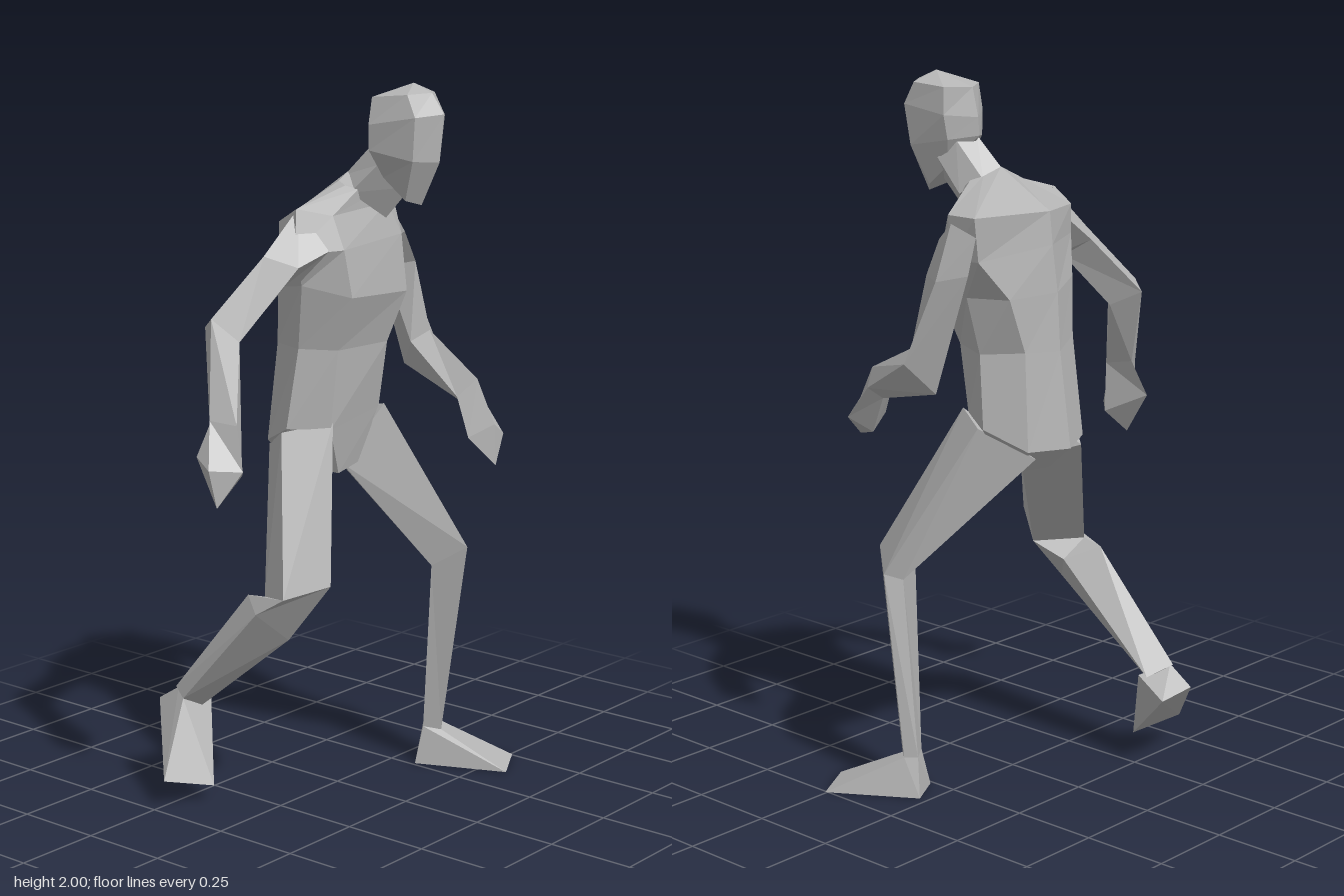
import * as THREE from 'three';
import { ConvexGeometry } from 'three/addons/geometries/ConvexGeometry.js';

const grey = new THREE.MeshStandardMaterial({ color: 0xb4b4b4 });
grey.name = 'clayGrey';

// Skins a stack of cross-sections (a one-point section makes a tip) with flat faces.
function loft(rings) {
  const n = Math.max(...rings.map((r) => r.length));
  const loops = rings.map((r) =>
    Array.from({ length: n }, (_, i) => new THREE.Vector3(...r[i % r.length])));
  const tris = [];
  for (let k = 0; k + 1 < loops.length; k++) {
    const a = loops[k], b = loops[k + 1];
    for (let i = 0; i < n; i++) {
      const j = (i + 1) % n;
      tris.push([a[i], a[j], b[j]], [a[i], b[j], b[i]]);
    }
  }
  const first = loops[0], last = loops[loops.length - 1];
  for (let i = 1; i + 1 < n; i++) {
    tris.push([first[0], first[i + 1], first[i]], [last[0], last[i], last[i + 1]]);
  }
  // Turn the faces outward whichever way the sections run.
  let volume = 0;
  for (const [a, b, c] of tris) volume += a.dot(b.clone().cross(c));
  const points = [];
  for (const [a, b, c] of tris) {
    if (a.equals(b) || b.equals(c) || a.equals(c)) continue;
    points.push(...(volume < 0 ? [a, c, b] : [a, b, c]));
  }
  const geometry = new THREE.BufferGeometry().setFromPoints(points);
  geometry.computeVertexNormals();
  return geometry;
}

// Six-sided head section: centre x, half width, then front and back heights and depths.
function headRing(cx, w, yF, yB, zF, zB) {
  const at = (dx, t) => [cx + dx, yF + (yB - yF) * t, zF + (zB - zF) * t];
  return [at(0.02, 0), at(w, 0.22), at(w * 0.8, 0.78), at(-0.01, 1), at(-w, 0.75), at(-w * 0.7, 0.15)];
}

export function createModel() {
  const model = new THREE.Group();
  model.name = 'stridingFigure';
  const add = (name, geometry) => {
    const mesh = new THREE.Mesh(geometry, grey);
    mesh.name = name;
    model.add(mesh);
  };

  // Torso from crotch to neck; each section runs front, left side, back, right side.
  const crotch = [[-0.02, 0.92, 0.02], [0.09, 0.93, 0], [0.13, 0.93, -0.06], [0.11, 0.93, -0.15],
    [0.04, 0.93, -0.17], [-0.04, 0.93, -0.14], [-0.08, 0.94, -0.05]];
  const hips = [[-0.09, 1.06, 0.05], [0.17, 1.08, 0.01], [0.23, 1.06, -0.1], [0.16, 1.0, -0.2],
    [0.02, 0.99, -0.23], [-0.09, 1.0, -0.18], [-0.16, 1.06, -0.05]];
  const waist = [[-0.07, 1.28, 0.06], [0.17, 1.27, 0.04], [0.21, 1.26, -0.07], [0.15, 1.27, -0.18],
    [0.03, 1.26, -0.2], [-0.08, 1.28, -0.15], [-0.12, 1.28, -0.04]];
  const ribs = [[-0.07, 1.43, 0.11], [0.22, 1.41, 0.07], [0.25, 1.42, -0.06], [0.2, 1.42, -0.17],
    [0.03, 1.42, -0.19], [-0.1, 1.44, -0.13], [-0.14, 1.46, -0.01]];
  const chest = [[-0.08, 1.56, 0.09], [0.22, 1.57, 0.05], [0.3, 1.53, -0.05], [0.29, 1.53, -0.14],
    [0.04, 1.55, -0.18], [-0.14, 1.55, -0.09], [-0.18, 1.55, 0]];
  const shoulders = [[-0.08, 1.65, 0.05], [0.18, 1.66, 0.03], [0.31, 1.65, -0.05], [0.31, 1.65, -0.145],
    [0.04, 1.64, -0.17], [-0.14, 1.63, -0.09], [-0.15, 1.67, -0.02]];
  const collar = [[0.04, 1.71, 0.04], [0.16, 1.7, 0.03], [0.17, 1.72, 0], [0.14, 1.73, -0.02],
    [0.08, 1.75, -0.03], [0.03, 1.73, -0.02], [0.02, 1.72, 0.01]];
  add('torso', loft([crotch, hips, waist, ribs, chest, shoulders, collar]));

  // Neck leaning forward into the head.
  add('neck', loft([
    [[0.1, 1.63, 0.09], [0.17, 1.68, 0.04], [0.14, 1.72, -0.02], [0.08, 1.74, -0.04], [0.03, 1.7, 0.02]],
    [[0.11, 1.72, 0.17], [0.17, 1.77, 0.12], [0.15, 1.82, 0.07], [0.09, 1.83, 0.05], [0.05, 1.78, 0.1]],
  ]));

  // Head from jaw to crown, nodding slightly.
  add('head', loft([
    headRing(0.11, 0.045, 1.67, 1.77, 0.19, 0.08),
    headRing(0.11, 0.08, 1.79, 1.83, 0.25, 0.03),
    headRing(0.115, 0.09, 1.92, 1.88, 0.26, 0.03),
    headRing(0.12, 0.08, 1.975, 1.96, 0.215, 0.045),
    [[0.13, 2.0, 0.16]],
  ]));

  // Arms: shoulder, upper arm, elbow, wrist, palm, fingertip.
  add('rightArm', loft([
    [[-0.13, 1.67, -0.03], [-0.12, 1.56, 0.07], [-0.15, 1.47, -0.01], [-0.14, 1.58, -0.09]],
    [[-0.25, 1.55, -0.05], [-0.2, 1.52, 0.03], [-0.19, 1.47, -0.02], [-0.22, 1.52, -0.095]],
    [[-0.385, 1.39, -0.12], [-0.35, 1.33, -0.05], [-0.31, 1.32, -0.09], [-0.36, 1.36, -0.165]],
    [[-0.45, 1.13, -0.07], [-0.42, 1.12, 0], [-0.38, 1.13, -0.02], [-0.41, 1.14, -0.09]],
    [[-0.51, 1.01, -0.02], [-0.43, 1.0, 0.03], [-0.4, 0.98, 0], [-0.47, 1.03, -0.1]],
    [[-0.49, 0.905, -0.01]],
  ]));
  add('leftArm', loft([
    [[0.32, 1.63, -0.07], [0.26, 1.57, 0.03], [0.24, 1.5, -0.06], [0.31, 1.6, -0.15]],
    [[0.37, 1.48, -0.06], [0.31, 1.48, 0.03], [0.27, 1.46, -0.05], [0.33, 1.5, -0.14]],
    [[0.4, 1.25, 0.03], [0.34, 1.28, 0.06], [0.29, 1.25, 0.03], [0.35, 1.17, -0.04]],
    [[0.3, 1.13, 0.27], [0.26, 1.18, 0.29], [0.22, 1.13, 0.25], [0.27, 1.1, 0.24]],
    [[0.29, 1.03, 0.36], [0.22, 1.07, 0.38], [0.18, 1.03, 0.32], [0.25, 0.99, 0.3]],
    [[0.2, 0.96, 0.4]],
  ]));

  // Legs: each section runs front, outside, back, inside.
  add('rightLeg', loft([
    [[-0.08, 1.08, 0.05], [-0.17, 1.05, -0.06], [-0.06, 0.98, -0.2], [0.0, 0.92, -0.03]],
    [[-0.27, 0.68, 0.2], [-0.35, 0.64, 0.1], [-0.3, 0.62, -0.01], [-0.2, 0.61, 0.1]],
    [[-0.27, 0.5, 0.05], [-0.35, 0.58, 0], [-0.29, 0.61, -0.08], [-0.22, 0.57, 0]],
    [[-0.29, 0.25, -0.26], [-0.345, 0.28, -0.28], [-0.32, 0.3, -0.33], [-0.25, 0.27, -0.29]],
  ]));
  add('leftLeg', loft([
    [[0.17, 1.09, 0.03], [0.23, 1.06, -0.08], [0.14, 0.98, -0.21], [0.08, 0.92, -0.05]],
    [[0.29, 0.68, 0.24], [0.385, 0.64, 0.13], [0.34, 0.62, 0.1], [0.24, 0.62, 0.15]],
    [[0.32, 0.1, 0.13], [0.365, 0.11, 0.08], [0.34, 0.11, 0.05], [0.285, 0.11, 0.09]],
  ]));

  // Wedge feet: ankle, heel and toe corners.
  const foot = (name, corners) =>
    add(name, new ConvexGeometry(corners.map((c) => new THREE.Vector3(...c))));
  foot('rightFoot', [[-0.345, 0.28, -0.28], [-0.25, 0.27, -0.26], [-0.32, 0.3, -0.32],
    [-0.315, 0.25, -0.4], [-0.23, 0.22, -0.365], [-0.475, 0.08, -0.235], [-0.34, 0.045, -0.17]]);
  foot('leftFoot', [[0.285, 0.11, 0.09], [0.365, 0.11, 0.08], [0.32, 0.1, 0.13], [0.34, 0.11, 0.05],
    [0.26, 0, 0.08], [0.36, 0, 0.025], [0.37, 0, 0.33], [0.505, 0, 0.255]]);

  return model;
}
